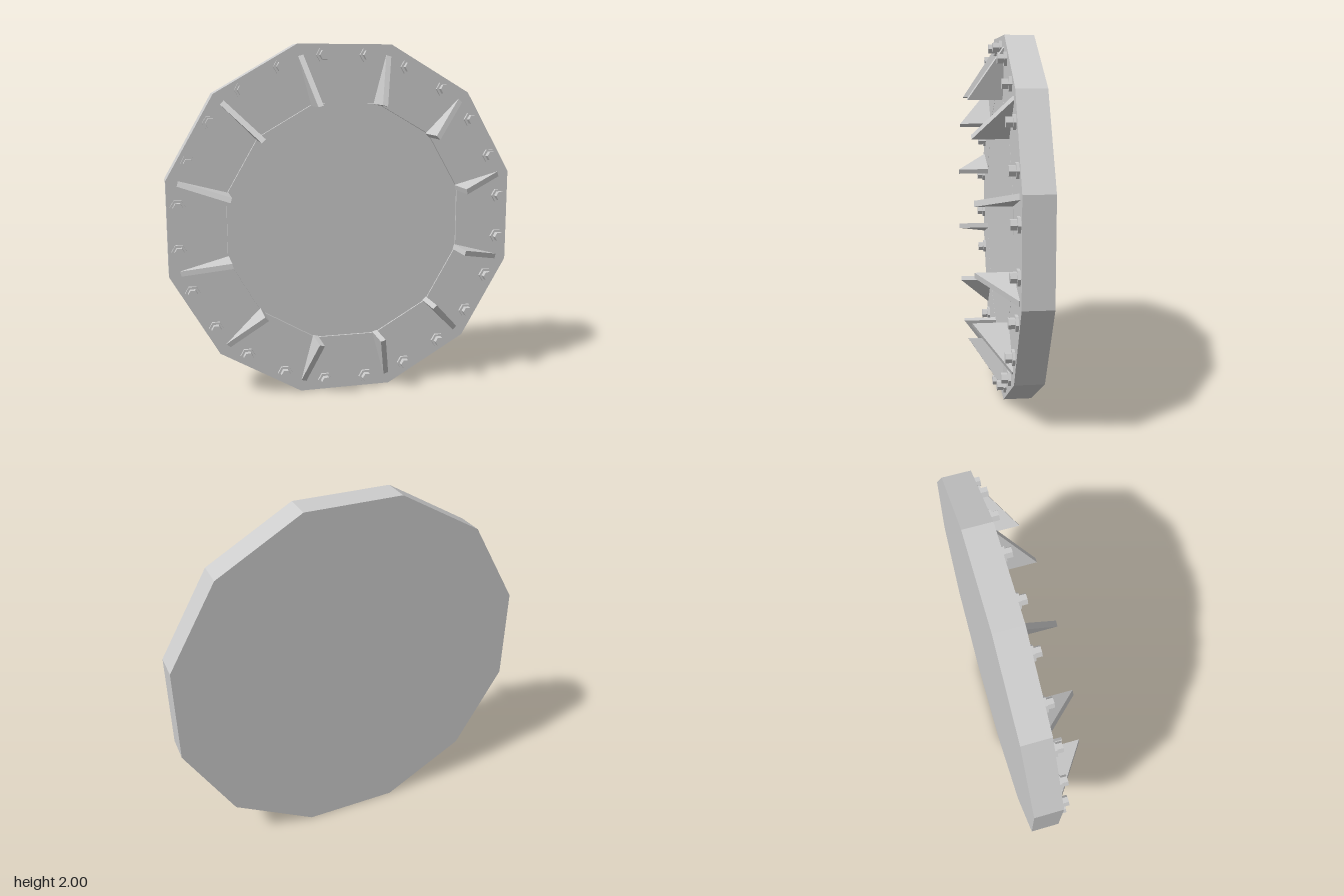
import * as THREE from 'three';

const BACK = -0.173, FACE = -0.017, TIP = 0.173; // depths of plate and rib tips
const GROOVE = FACE - 0.02;                      // floor of the seam round the panel
const SIDES = 12;

// regular twelve-sided outline with flat sides on the axes
function polygon(apothem, Type = THREE.Shape) {
  const r = apothem / Math.cos(Math.PI / SIDES);
  const pts = [];
  for (let i = 0; i < SIDES; i++) {
    const a = (i + 0.5) * 2 * Math.PI / SIDES;
    pts.push(new THREE.Vector2(r * Math.cos(a), r * Math.sin(a)));
  }
  return new Type(pts);
}

// straight extrusion between two depths
function slab(shape, z0, z1) {
  return new THREE.ExtrudeGeometry(shape, { depth: z1 - z0, bevelEnabled: false })
    .translate(0, 0, z0);
}

// hexagonal prism along z with corners pointing sideways
function hexPrism(radius, z0, z1) {
  return new THREE.CylinderGeometry(radius, radius, z1 - z0, 6)
    .rotateY(Math.PI / 6).rotateX(Math.PI / 2).translate(0, 0, (z0 + z1) / 2);
}

export function createModel() {
  const steel = new THREE.MeshStandardMaterial({ color: 0xcccccc, flatShading: true });
  steel.name = 'grey steel';
  const model = new THREE.Group();
  model.name = 'boltedCover';
  const body = new THREE.Group();
  body.position.y = 1;
  model.add(body);

  const add = (geometry, name, parent = body) => {
    const mesh = new THREE.Mesh(geometry, steel);
    mesh.name = name;
    parent.add(mesh);
    return mesh;
  };

  // solid back plate, flange ring and flush centre panel with a fine seam between
  add(slab(polygon(1), BACK, GROOVE), 'backPlate');
  const ring = polygon(1);
  ring.holes.push(polygon(0.678, THREE.Path));
  add(slab(ring, GROOVE, FACE), 'flangeRing');
  add(slab(polygon(0.674), GROOVE, FACE), 'centrePanel');

  // triangular ribs with a slightly blunt outer end, one at each panel corner
  const triangle = new THREE.Shape([
    new THREE.Vector2(0.69, FACE), new THREE.Vector2(0.97, FACE),
    new THREE.Vector2(0.97, FACE + 0.004), new THREE.Vector2(0.69, TIP),
  ]);
  const ribGeometry = slab(triangle, -0.015, 0.015).rotateX(Math.PI / 2);
  for (let i = 0; i < SIDES; i++) {
    add(ribGeometry, 'rib').rotation.z = (i + 0.5) * Math.PI / 6;
  }

  // bolts: wide hexagonal nut with a narrower hexagonal stud
  const nutGeometry = hexPrism(0.042, FACE, -0.002);
  const studGeometry = hexPrism(0.028, FACE, 0.031);
  for (let i = 0; i < 24; i++) {
    const a = (i + 0.5) * Math.PI / 12;
    const bolt = new THREE.Group();
    bolt.name = 'bolt';
    bolt.position.set(0.948 * Math.cos(a), 0.948 * Math.sin(a), 0);
    add(nutGeometry, 'nut', bolt);
    add(studGeometry, 'stud', bolt);
    body.add(bolt);
  }
  return model;
}
